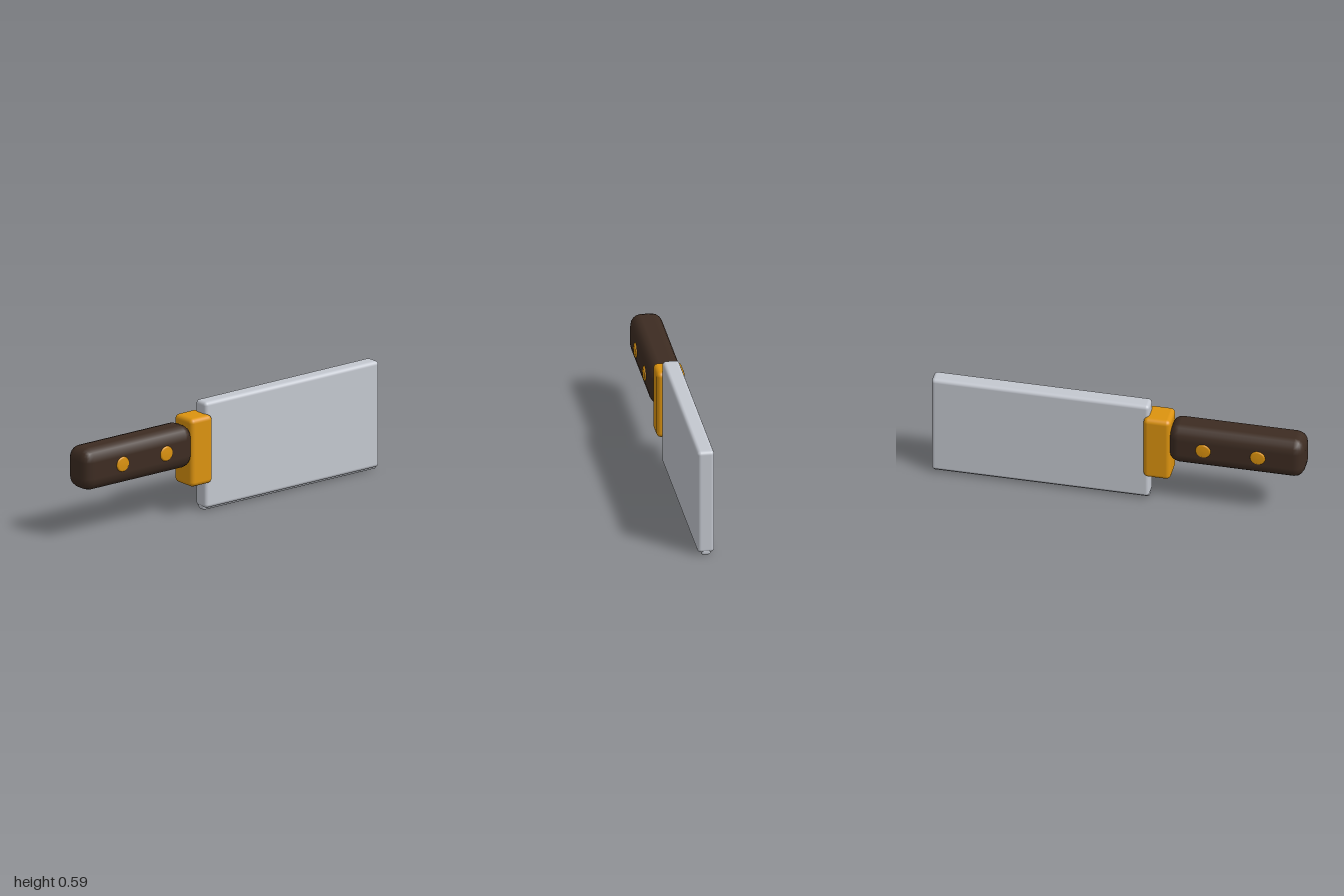
import * as THREE from 'three';
import { RoundedBoxGeometry } from 'three/addons/geometries/RoundedBoxGeometry.js';

const material = (name, color) => {
  const m = new THREE.MeshStandardMaterial({ color });
  m.name = name;
  return m;
};

// Rounded block given by its extents on each axis
function block(name, mat, [x0, x1], [y0, y1], [z0, z1], radius, segments, stretchY = 1) {
  const geo = new RoundedBoxGeometry(x1 - x0, (y1 - y0) / stretchY, z1 - z0, segments, radius);
  geo.scale(1, stretchY, 1);
  const mesh = new THREE.Mesh(geo, mat);
  mesh.name = name;
  mesh.position.set((x0 + x1) / 2, (y0 + y1) / 2, (z0 + z1) / 2);
  return mesh;
}

export function createModel() {
  const group = new THREE.Group();
  group.name = 'cleaver';
  const steel = material('steel', 0xc4c8d0);
  const brass = material('brass', 0xdc930f);
  const wood = material('darkWood', 0x3d2c22);

  // Blade slab with a narrow cutting edge below it
  group.add(block('blade', steel, [-0.045, 0.045], [0.014, 0.595], [-1, 0.165], 0.02, 3));
  group.add(block('cuttingEdge', steel, [-0.025, 0.025], [0, 0.034], [-0.998, 0.163], 0.013, 3));

  // Bolster and handle
  group.add(block('bolster', brass, [-0.075, 0.075], [0.159, 0.532], [0.138, 0.284], 0.025, 3));
  group.add(block('handle', wood, [-0.0875, 0.0875], [0.272, 0.502], [0.27, 1], 0.058, 2, 1.22));

  // Rivets run right through the handle, with softened rims
  const half = [[0.041, 0.088], [0.038, 0.0925], [0.033, 0.095], [0, 0.0955]];
  const profile = [
    ...half.map(([r, y]) => new THREE.Vector2(r, -y)).reverse(),
    ...half.map(([r, y]) => new THREE.Vector2(r, y)),
  ];
  const rivetGeo = new THREE.LatheGeometry(profile, 24);
  rivetGeo.rotateZ(Math.PI / 2);
  for (const z of [0.463, 0.755]) {
    const rivet = new THREE.Mesh(rivetGeo, brass);
    rivet.name = 'rivet';
    rivet.position.set(0, 0.388, z);
    group.add(rivet);
  }
  return group;
}
